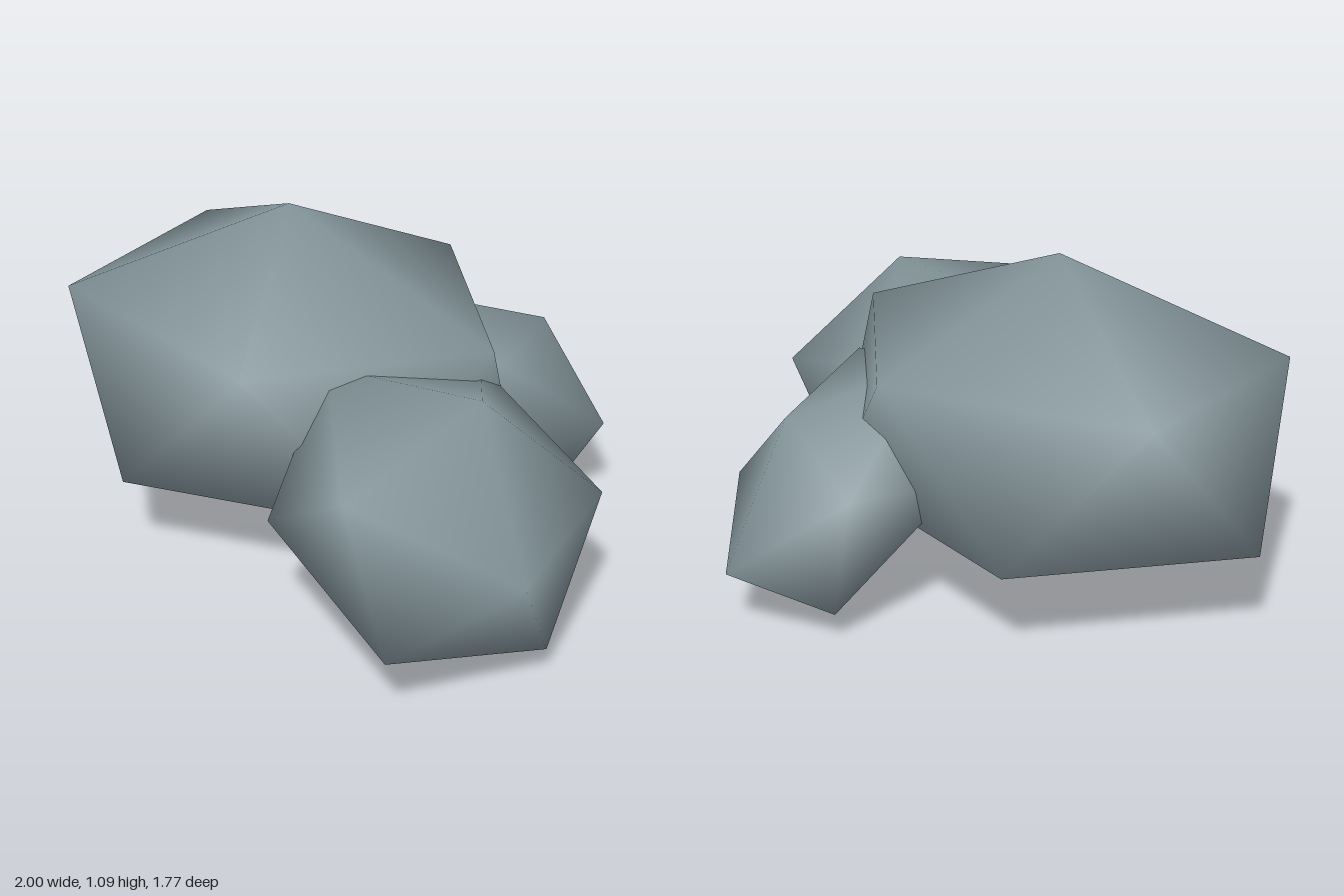
import * as THREE from 'three';

const V = (a) => new THREE.Vector3(...a);

// Stretched twenty-sided boulder: a pole, and two half axes for the ring of five around it
function boulder(pole, axisA, axisB) {
  const a = V(pole), p = V(axisA), q = V(axisB);
  const upper = [], lower = [];
  for (let k = 0; k < 5; k++) {
    const t = (k * Math.PI * 2) / 5;
    upper.push(a.clone().divideScalar(Math.sqrt(5))
      .addScaledVector(p, Math.cos(t)).addScaledVector(q, Math.sin(t)));
  }
  for (let k = 0; k < 5; k++) lower.push(upper[(k + 3) % 5].clone().negate());

  // Vertex order: pole, upper ring 1-5, lower ring 6-10, opposite pole
  const points = [a, ...upper, ...lower, a.clone().negate()];
  const index = [];
  for (let k = 0; k < 5; k++) {
    const n = (k + 1) % 5;
    const u0 = 1 + k, u1 = 1 + n, w0 = 6 + k, w1 = 6 + n;
    index.push(0, u1, u0, u0, u1, w0, u1, w1, w0, 11, w0, w1);
  }
  const geometry = new THREE.BufferGeometry().setFromPoints(points);
  geometry.setIndex(index);
  geometry.computeVertexNormals();
  return geometry;
}

export function createModel() {
  const group = new THREE.Group();
  group.name = 'rockCluster';
  const stone = new THREE.MeshStandardMaterial({ color: 0x84959b });
  stone.name = 'blueGreyStone';

  const rocks = [
    { name: 'largeRock', at: [-0.25, 0.546, 0.03],
      pole: [0, 0.546, 0], a: [0.75, 0, 0], b: [0, 0, 0.615] },
    { name: 'frontRock', at: [0.51, 0.4225, 0.365],
      pole: [0.13, 0.378, -0.035], a: [0.427, -0.119, 0.321], b: [-0.211, 0.11, 0.41] },
    { name: 'backRock', at: [0.22, 0.38, -0.43],
      pole: [0.09, -0.18, -0.46], a: [0.141, -0.293, 0.018], b: [0.31, 0.118, 0.113] },
  ];
  for (const r of rocks) {
    const mesh = new THREE.Mesh(boulder(r.pole, r.a, r.b), stone);
    mesh.name = r.name;
    mesh.position.set(...r.at);
    group.add(mesh);
  }
  return group;
}
